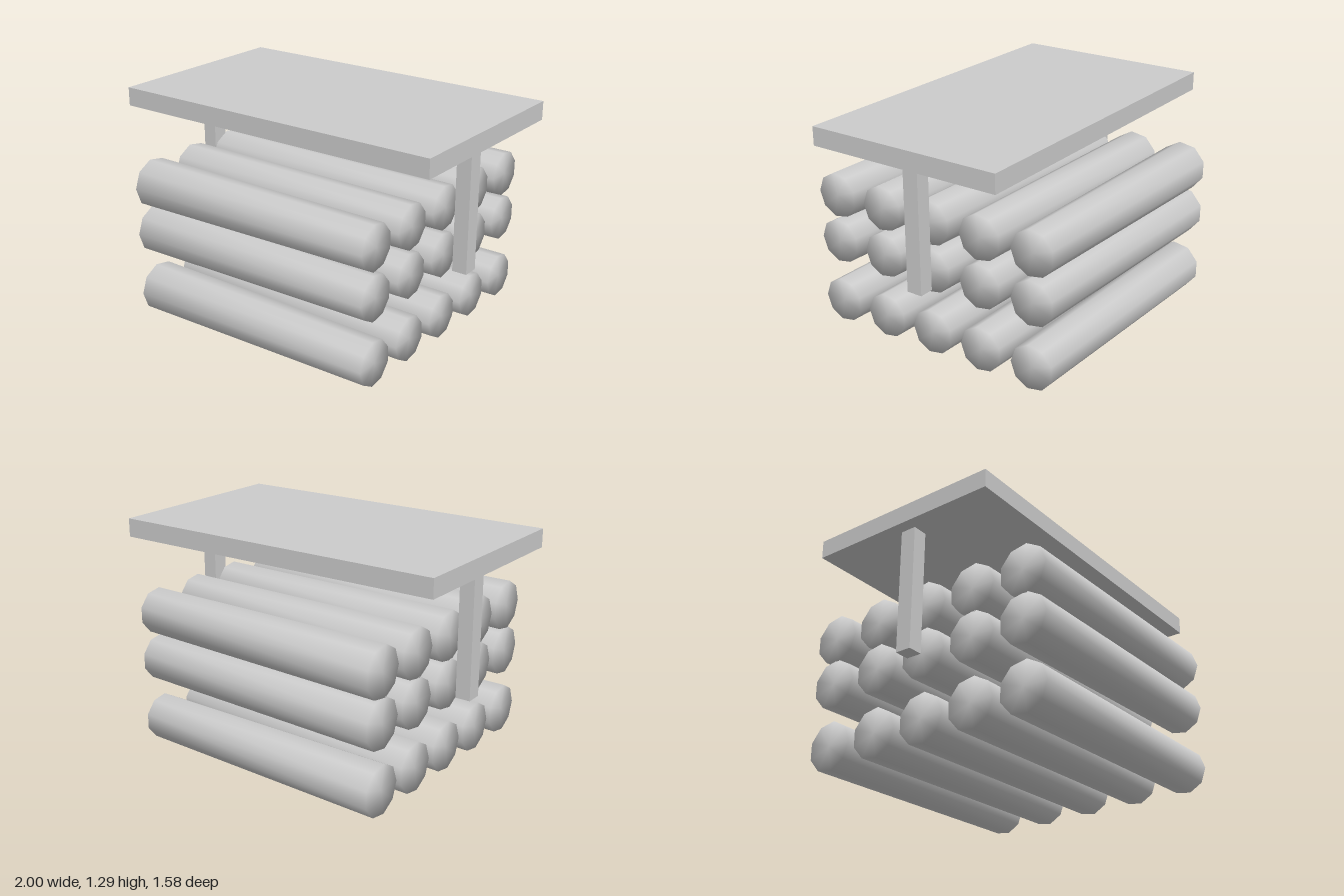
import * as THREE from 'three';
import { mergeVertices } from 'three/addons/utils/BufferGeometryUtils.js';

// Tapered nine-sided log along x, slightly skewed, with normals shared over the ends
function logGeometry() {
  const length = 1.54;
  let geo = new THREE.CylinderGeometry(0.129, 0.144, length, 9, 1);
  geo.rotateZ(-Math.PI / 2);
  geo.deleteAttribute('normal');
  geo.deleteAttribute('uv');
  geo = mergeVertices(geo, 1e-4);
  const p = geo.attributes.position;
  for (let i = 0; i < p.count; i++) {
    const t = p.getX(i) / (length / 2);
    p.setY(i, p.getY(i) + 0.0085 * t);
    p.setZ(i, p.getZ(i) + 0.0125 * t);
  }
  geo.computeVertexNormals();
  return geo;
}

export function createModel() {
  const model = new THREE.Group();
  model.name = 'logStackWithRoof';
  const grey = new THREE.MeshStandardMaterial({ color: 0xcccccc });
  grey.name = 'grey';

  const addBox = (name, w, h, d, x, y, z) => {
    const mesh = new THREE.Mesh(new THREE.BoxGeometry(w, h, d), grey);
    mesh.name = name;
    mesh.position.set(x, y, z);
    model.add(mesh);
  };

  // Flat roof on two end posts
  addBox('roof', 2, 0.106, 1.156, 0, 1.242, -0.01);
  addBox('rightPost', 0.086, 0.72, 0.092, -0.887, 0.83, -0.009);
  addBox('leftPost', 0.086, 0.72, 0.092, 0.882, 0.83, -0.009);

  // Three rows of five logs
  const logs = new THREE.Group();
  logs.name = 'logs';
  const geo = logGeometry();
  for (const y of [0.157, 0.527, 0.802]) {
    for (let i = 0; i < 5; i++) {
      const log = new THREE.Mesh(geo, grey);
      log.name = 'log';
      log.position.set(-0.003, y, 0.6435 - 0.323 * i);
      logs.add(log);
    }
  }
  model.add(logs);
  return model;
}
